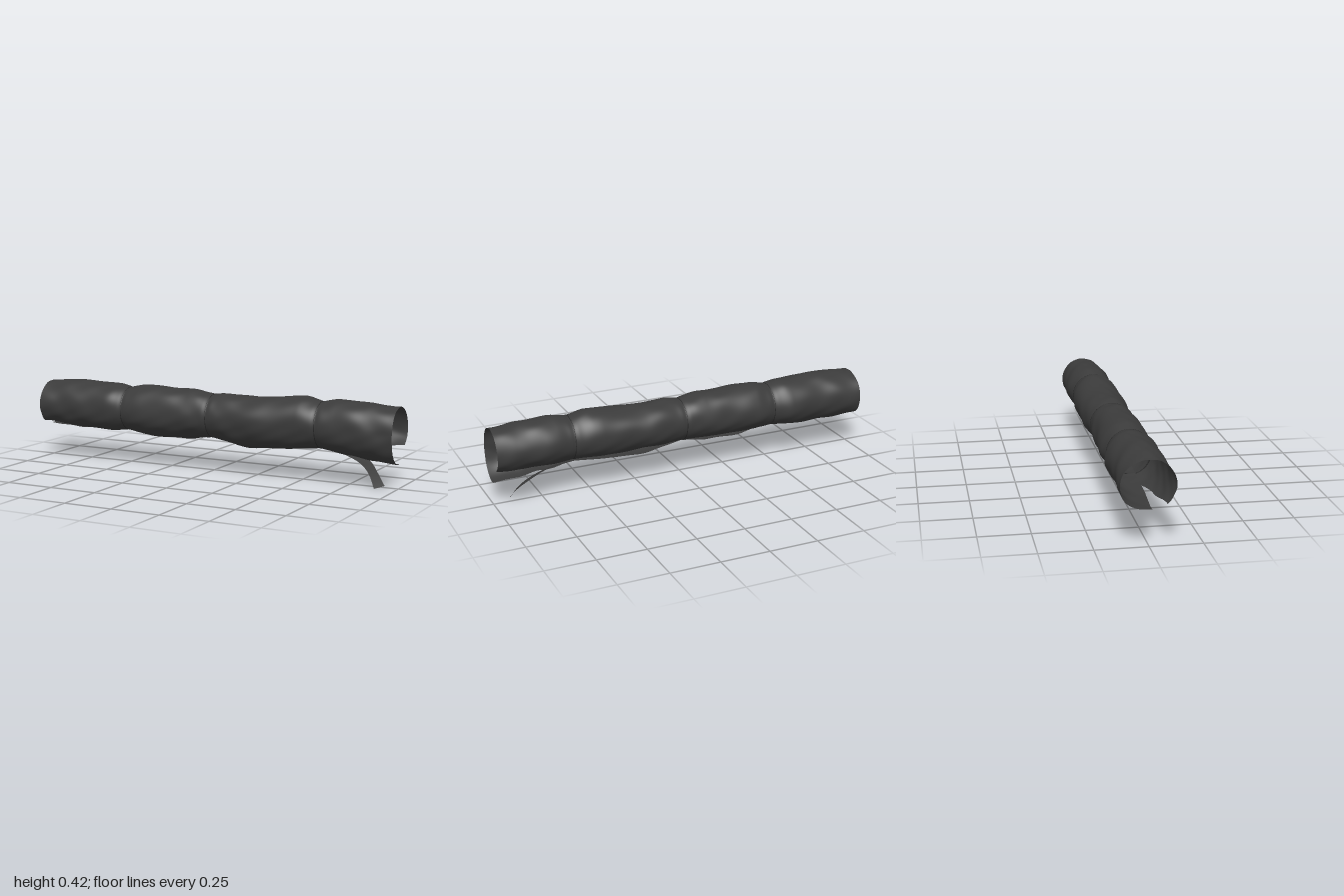
import * as THREE from 'three';

const CY = 0.285;               // height of the sleeve axis
const TAU = Math.PI * 2;
const TIES = [-0.5, 0, 0.6];    // places where the cloth is cinched

// smooth interpolation through [x, value] keys
function keyed(keys, x) {
  if (x <= keys[0][0]) return keys[0][1];
  for (let i = 1; i < keys.length; i++) {
    const [x0, a] = keys[i - 1], [x1, b] = keys[i];
    if (x <= x1) {
      const t = (x - x0) / (x1 - x0);
      return a + (b - a) * t * t * (3 - 2 * t);
    }
  }
  return keys[keys.length - 1][1];
}

// radius of the cloth along its length, for each side
const TOP = [[-1, 0.124], [-0.78, 0.136], [-0.58, 0.129], [-0.5, 0.119], [-0.41, 0.133], [-0.12, 0.129],
  [0, 0.113], [0.08, 0.12], [0.22, 0.112], [0.5, 0.133], [0.6, 0.117], [0.69, 0.129], [0.85, 0.123], [1, 0.113]];
const FRONT = [[-1, 0.125], [-0.85, 0.12], [-0.6, 0.125], [-0.5, 0.113], [-0.38, 0.12], [-0.15, 0.117],
  [0, 0.111], [0.3, 0.129], [0.5, 0.12], [0.6, 0.113], [0.75, 0.121], [1, 0.11]];
const BACK = [[-1, 0.135], [-0.75, 0.128], [-0.6, 0.134], [-0.5, 0.114], [-0.4, 0.126], [-0.2, 0.119],
  [0, 0.112], [0.2, 0.127], [0.45, 0.127], [0.6, 0.113], [0.75, 0.126], [0.9, 0.12], [1, 0.116]];
const FLAP = [[-1, 0.111], [-0.8, 0.12], [-0.6, 0.124], [-0.5, 0.113], [-0.33, 0.136], [-0.15, 0.128],
  [0, 0.115], [0.22, 0.149], [0.42, 0.138], [0.6, 0.12], [0.75, 0.142], [0.88, 0.156], [1, 0.165]];
const UNDER = [[-1, 0.11], [-0.85, 0.12], [-0.65, 0.117], [-0.5, 0.108], [-0.25, 0.114], [0, 0.108],
  [0.3, 0.112], [0.6, 0.109], [1, 0.112]];

// angle (0 = bottom, quarter turn = front) where each edge of the wrap ends
const FRONT_EDGE = [[-1, 0.75], [-0.8, 0.5], [-0.5, 0.05], [-0.2, -0.2], [0.3, -0.15], [0.6, -0.25], [0.8, -0.1], [1, -0.06]];
const BACK_EDGE = [[-1, 0.12], [-0.7, 0.25], [-0.2, 0.35], [0.3, 0.3], [0.6, 0.1], [0.72, -0.35], [1, -0.75]];

// soft cloth wrinkles, fading out at the ties
function wrinkle(x, a) {
  let calm = 1;
  for (const t of TIES) calm *= 1 - Math.exp(-(((x - t) / 0.04) ** 2));
  const w = Math.sin(9 * x + 3 * a) * Math.sin(14 * x - 2 * a + 1)
    + 0.6 * Math.sin(25 * x + 4 * a + 2 * Math.sin(7 * x))
    + 0.4 * Math.sin(37 * x - 7 * a + 1.5 * Math.sin(3 * a));
  return 0.0022 * w * calm;
}

function clothRadius(x, a) {
  const c = Math.cos(a), s = Math.sin(a);
  const low = a < Math.PI ? FLAP : UNDER;
  let r = keyed(c > 0 ? low : TOP, x) * c * c + keyed(s > 0 ? FRONT : BACK, x) * s * s;
  for (const t of TIES) r -= 0.003 * Math.exp(-(((x - t) / 0.014) ** 2));
  return r + wrinkle(x, a);
}

// grid surface from a point rule; u and v run 0..1
function sheet(nu, nv, rule) {
  const pos = [], index = [];
  for (let i = 0; i <= nu; i++)
    for (let j = 0; j <= nv; j++) pos.push(...rule(i / nu, j / nv));
  for (let i = 0; i < nu; i++)
    for (let j = 0; j < nv; j++) {
      const a = i * (nv + 1) + j, b = a + nv + 1;
      index.push(a, b, a + 1, b, b + 1, a + 1);
    }
  const g = new THREE.BufferGeometry();
  g.setAttribute('position', new THREE.Float32BufferAttribute(pos, 3));
  g.setIndex(index);
  g.computeVertexNormals();
  return g;
}

export function createModel() {
  const model = new THREE.Group();
  model.name = 'wrappedSleeve';
  const cloth = new THREE.MeshStandardMaterial({ color: 0x3b3b3b, side: THREE.DoubleSide });
  cloth.name = 'charcoal cloth';
  const cord = new THREE.MeshStandardMaterial({ color: 0x282828 });
  cord.name = 'dark cord';

  const add = (name, geometry, material) => {
    const mesh = new THREE.Mesh(geometry, material);
    mesh.name = name;
    model.add(mesh);
  };

  // cloth rolled into a tube, its edges overlapping underneath
  add('clothWrap', sheet(240, 96, (u, v) => {
    const x = u * 2 - 1;
    const a0 = keyed(FRONT_EDGE, x), a1 = TAU + keyed(BACK_EDGE, x);
    const a = a0 + (a1 - a0) * v;
    const r = clothRadius(x, a);
    return [x, CY - r * Math.cos(a), r * Math.sin(a)];
  }), cloth);

  // thin cords lying in the cinched grooves
  TIES.forEach((x, i) => {
    const path = new THREE.CatmullRomCurve3(Array.from({ length: 32 }, (_, k) => {
      const a = k / 32 * TAU, r = clothRadius(x, a) - 0.001;
      return new THREE.Vector3(x, CY - r * Math.cos(a), r * Math.sin(a));
    }), true);
    add('tieCord' + (i + 1), new THREE.TubeGeometry(path, 80, 0.0028, 6, true), cord);
  });

  // loose strap hanging from the underside, between two edge curves
  const curve = pts => new THREE.CatmullRomCurve3(pts.map(p => new THREE.Vector3(...p)));
  const near = curve([[0.58, 0.168, 0], [0.72, 0.143, 0], [0.81, 0.105, 0.008], [0.86, 0.06, 0.028], [0.895, 0, 0.053]]);
  const far = curve([[0.58, 0.19, -0.068], [0.74, 0.165, -0.064], [0.84, 0.11, -0.048], [0.89, 0.06, -0.018], [0.93, 0.008, 0]]);
  add('looseStrap', sheet(28, 6, (u, v) => {
    const p = far.getPoint(u).lerp(near.getPoint(u), v);
    return [p.x, p.y, p.z];
  }), cloth);

  return model;
}
